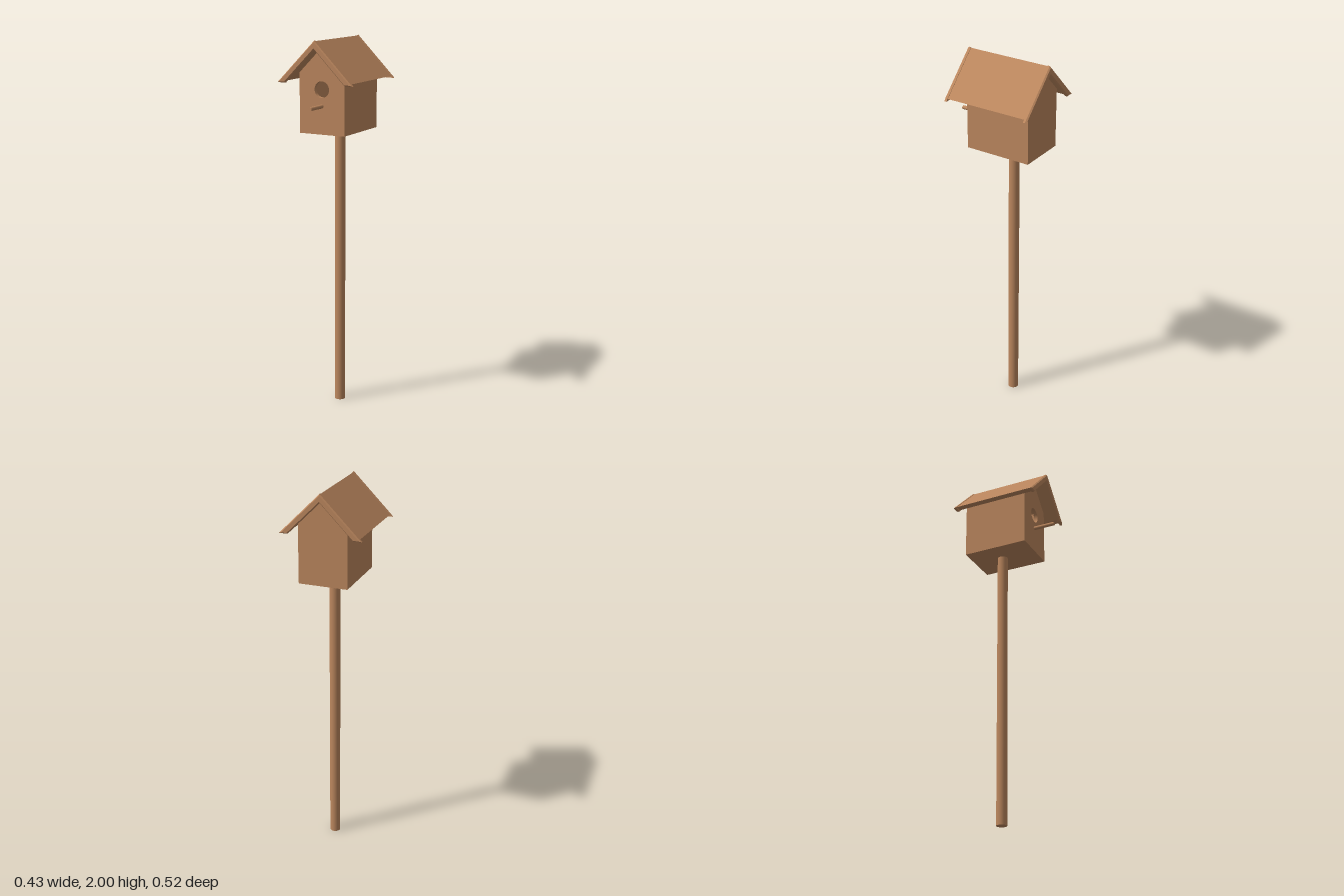
import * as THREE from 'three';

// Upside-down V outline: outer ridge height, eave height, vertical thickness
function chevron(ridge, eave, thick) {
  const w = ridge - eave;
  return [[0, ridge], [-w, eave], [-w + thick, eave], [0, ridge - thick], [w - thick, eave], [w, eave]]
    .map(([x, y]) => new THREE.Vector2(x, y));
}

// Gabled house outline
function gable(half, base, apex) {
  return [[-half, base], [half, base], [half, apex - half], [0, apex], [-half, apex - half]]
    .map(([x, y]) => new THREE.Vector2(x, y));
}

function extrude(shape, depth, z, steps = 1) {
  const geo = new THREE.ExtrudeGeometry(shape, { depth, steps, bevelEnabled: false, curveSegments: 24 });
  return geo.translate(0, 0, z);
}

// Gable trim whose outer face is chamfered all round
function trimGeometry() {
  const ridge = 2, eave = 1.784, thick = 0.045, d = 0.0054;
  const outer = chevron(ridge, eave, thick);
  const inner = chevron(ridge - d * Math.SQRT2, eave + d, thick - 2 * d * Math.SQRT2);
  const geo = extrude(new THREE.Shape(outer), 0.018, 0, 2);
  const pos = geo.attributes.position;
  for (let i = 0; i < pos.count; i++) {
    const z = pos.getZ(i);
    if (z > 0.017) {
      const p = new THREE.Vector2(pos.getX(i), pos.getY(i));
      const k = outer.findIndex((o) => o.distanceTo(p) < 1e-5);
      pos.setXY(i, inner[k].x, inner[k].y);
    } else if (z > 0.005) {
      pos.setZ(i, 0.011);
    }
  }
  geo.computeVertexNormals();
  return geo;
}

export function createModel() {
  const model = new THREE.Group();
  const wood = new THREE.MeshStandardMaterial({ color: 0xbc875e });
  wood.name = 'wood';

  function add(name, geo) {
    const mesh = new THREE.Mesh(geo, wood);
    mesh.name = name;
    model.add(mesh);
    return mesh;
  }

  // Post
  add('post', new THREE.CylinderGeometry(0.028, 0.028, 1.525, 32)).position.set(0, 0.7625, -0.056);

  // Hollow house: side walls and floor, back panel, front panel with entrance
  const half = 0.13, base = 1.52, apex = 1.965, wall = 0.02;
  const shell = new THREE.Shape(gable(half, base, apex));
  shell.holes.push(new THREE.Path(gable(half - wall, base + wall, apex - wall)));
  add('sideWalls', extrude(shell, 0.32, -0.2));
  add('backWall', extrude(new THREE.Shape(gable(half, base, apex)), wall, -0.22));
  const front = new THREE.Shape(gable(half, base, apex));
  front.holes.push(new THREE.Path().absarc(0, 1.75, 0.042, 0, Math.PI * 2, true));
  add('frontWall', extrude(front, wall, 0.12));

  // Perch
  const perch = add('perch', new THREE.CylinderGeometry(0.01, 0.01, 0.13, 20));
  perch.rotation.x = Math.PI / 2;
  perch.position.set(0, 1.665, 0.194);

  // Roof with a trim at each gable
  add('roof', extrude(new THREE.Shape(chevron(1.997, 1.794, 0.036)), 0.452, -0.246));
  const trim = trimGeometry();
  add('frontTrim', trim).position.z = 0.204;
  const backTrim = add('backTrim', trim);
  backTrim.rotation.y = Math.PI;
  backTrim.position.z = -0.244;

  return model;
}
